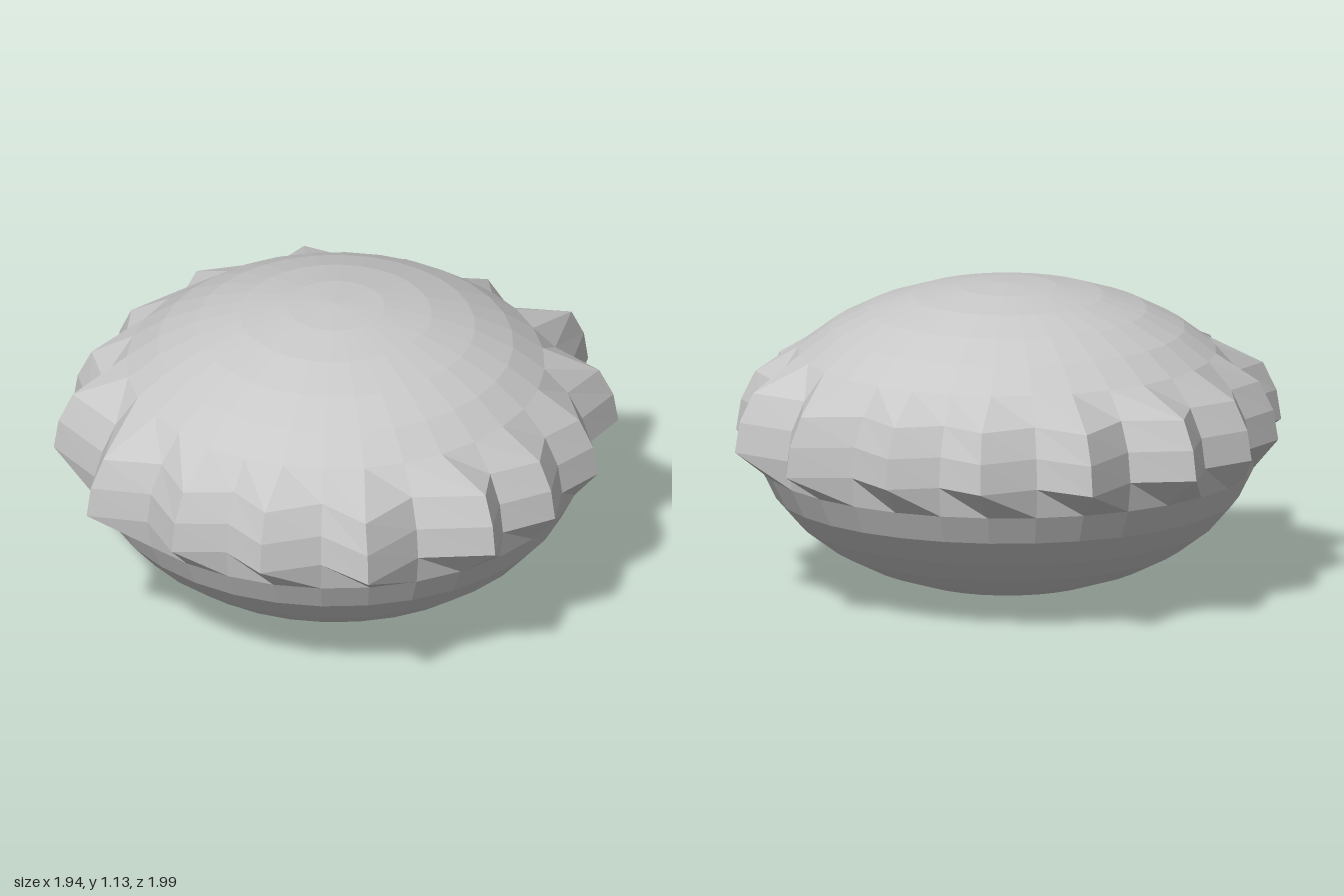
import * as THREE from 'three';

const SEGMENTS = 32, RINGS = 16, RADIUS = 0.915, HALF_HEIGHT = 0.565;

// Outward shift [x, z] of the four points in one quarter, from the z axis to the x axis
const FRONT_SHIFT = [[0, 0.1], [0.06, 0.14], [0.13, 0], [0.075, 0]];
const BACK_SHIFT = [[0, 0.1], [0.07, 0.15], [0.11, 0.05], [0.075, 0]];

export function createModel() {
  const grey = new THREE.MeshStandardMaterial({ color: 0xc8c8c8 });
  grey.name = 'grey';

  // Squashed sphere standing on the ground
  const sphere = new THREE.SphereGeometry(1, SEGMENTS, RINGS);
  sphere.scale(RADIUS, HALF_HEIGHT, RADIUS);
  sphere.translate(0, HALF_HEIGHT, 0);

  // Pull every second column out on the equator and the two rings above it
  const p = sphere.attributes.position;
  for (let ring = RINGS / 2 - 2; ring <= RINGS / 2; ring++) {
    for (let column = 1; column < SEGMENTS; column += 2) {
      const i = ring * (SEGMENTS + 1) + column;
      const x = p.getX(i), z = p.getZ(i);
      const angle = Math.atan2(Math.abs(x), Math.abs(z));
      const k = Math.floor(angle / (Math.PI / 8));
      const [dx, dz] = (z > 0 ? FRONT_SHIFT : BACK_SHIFT)[k];
      p.setX(i, x + Math.sign(x) * dx);
      p.setZ(i, z + Math.sign(z) * dz);
    }
  }

  // Separate the faces for a faceted look
  const faceted = sphere.toNonIndexed();
  faceted.computeVertexNormals();

  const body = new THREE.Mesh(faceted, grey);
  body.name = 'scallopedBody';
  const group = new THREE.Group();
  group.name = 'scallopedShell';
  group.add(body);
  return group;
}
